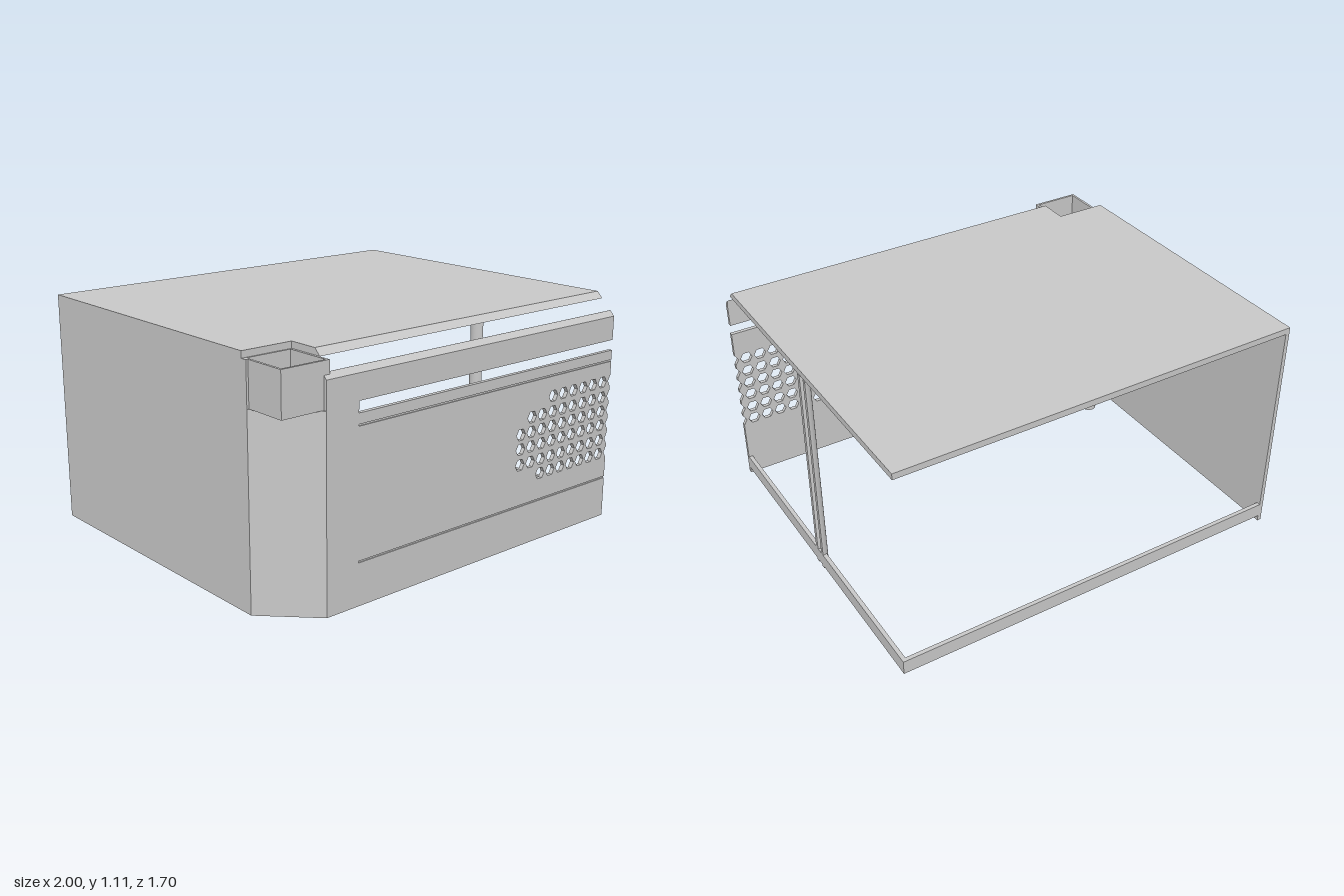
import * as THREE from 'three';

const grey = new THREE.MeshStandardMaterial({ color: 0xc8c8c8 });
grey.name = 'plain grey';

export function createModel() {
  const group = new THREE.Group();
  group.name = 'halfEnclosure';

  const add = (name, geometry) => {
    const mesh = new THREE.Mesh(geometry, grey);
    mesh.name = name;
    group.add(mesh);
  };
  // Box given by its limits on each axis
  const box = (name, x0, x1, y0, y1, z0, z1) => add(name,
    new THREE.BoxGeometry(x1 - x0, y1 - y0, z1 - z0)
      .translate((x0 + x1) / 2, (y0 + y1) / 2, (z0 + z1) / 2));
  const shapeOf = pts => new THREE.Shape(pts.map(p => new THREE.Vector2(...p)));
  const extrude = (shape, depth) => new THREE.ExtrudeGeometry(shape,
    { depth, bevelEnabled: false, curveSegments: 24 });
  // Side profile in (z, y), swept along x
  const sweepX = (name, pts, x0, x1) => add(name,
    extrude(shapeOf(pts.map(([z, y]) => [-z, y])), x1 - x0)
      .rotateY(Math.PI / 2).translate(x0, 0, 0));
  // Plan shape, with its y standing for -z, raised from y0 to y1
  const raise = (name, shape, y0, y1, x = 0, z = 0) => add(name,
    extrude(shape, y1 - y0).rotateX(-Math.PI / 2).translate(x, y0, z));

  // Lid: main slab plus a bevelled front strip beside the corner notch
  box('lid', -1, 1, 1.08, 1.11, -0.85, 0.6);
  sweepX('lidFrontStrip', [[0.6, 1.08], [0.775, 1.08], [0.745, 1.11], [0.6, 1.11]], -0.75, 1);

  // Closed side and the low rails of the open sides
  box('sidePanel', -1, -0.98, 0, 1.08, -0.85, 0.63);
  box('backRail', -0.98, 1, 0.03, 0.1, -0.85, -0.83);
  box('sideRail', 0.98, 1, 0.03, 0.1, -0.83, 0.83);

  // Front panel: hexagonal vents, a long slot and shallow grooves
  const R = 0.03, H = R * Math.sqrt(3) / 2, step = 0.0715;
  const rows = [[0.33, 2], [0.4, 0], [0.475, 0], [0.545, 0], [0.615, 1], [0.69, 3]];
  const frontLayer = grooved => {
    const notches = [[0.84, 0.89]];
    if (grooved) notches.push([0.195, 0.203], [0.785, 0.793]);
    const cuts = notches.map(([a, b]) => ({ y: a, pts: [[1, a], [-0.61, a], [-0.61, b], [1, b]] }));
    const edge = 0.37 + 9 * step;
    rows.forEach(([y]) => cuts.push({
      y, pts: [[1, y - H], [edge - R / 2, y - H], [edge - R, y], [edge - R / 2, y + H], [1, y + H]],
    }));
    cuts.sort((a, b) => a.y - b.y);
    const shape = shapeOf([[-0.78, 0], [1, 0], ...cuts.flatMap(c => c.pts), [1, 1.005], [-0.78, 1.005]]);
    for (const [y, first] of rows) {
      for (let k = first; k < 9; k++) {
        const hex = [];
        for (let i = 0; i < 6; i++) {
          const a = -i * Math.PI / 3;
          hex.push(new THREE.Vector2(0.37 + k * step + R * Math.cos(a), y + R * Math.sin(a)));
        }
        shape.holes.push(new THREE.Path(hex));
      }
    }
    return shape;
  };
  add('frontPanel', extrude(frontLayer(false), 0.015).translate(0, 0, 0.83));
  add('frontPanelFace', extrude(frontLayer(true), 0.005).translate(0, 0, 0.845));
  sweepX('frontPanelBevel', [[0.825, 1.005], [0.85, 1.005], [0.826, 1.03], [0.825, 1.03]], -0.78, 1);

  // Angled corner panel
  raise('cornerPanel', shapeOf([[-1, -0.63], [-0.78, -0.85], [-0.76, -0.84], [-0.98, -0.62]]), 0, 0.88);

  // Open square sleeve at the top of the corner
  const sleeve = shapeOf([[-0.99, -0.835], [-0.75, -0.835], [-0.75, -0.595], [-0.99, -0.595]]);
  sleeve.holes.push(new THREE.Path([[-0.978, -0.823], [-0.978, -0.607], [-0.762, -0.607], [-0.762, -0.823]]
    .map(p => new THREE.Vector2(...p))));
  raise('cornerSleeve', sleeve, 0.88, 1.08);

  // Hollow posts: one whole, one halved by the open side
  const whole = new THREE.Shape().absarc(0, 0, 0.038, 0, Math.PI * 2, false);
  whole.holes.push(new THREE.Path().absarc(0, 0, 0.018, 0, Math.PI * 2, true));
  raise('post', whole, 0.02, 1.075, -0.82, 0.375);
  const half = new THREE.Shape();
  half.absarc(0, 0, 0.038, Math.PI / 2, Math.PI * 1.5, false);
  half.absarc(0, 0, 0.018, Math.PI * 1.5, Math.PI / 2, true);
  raise('halfPost', half, 0.02, 1.075, 1, -0.022);

  return group;
}
